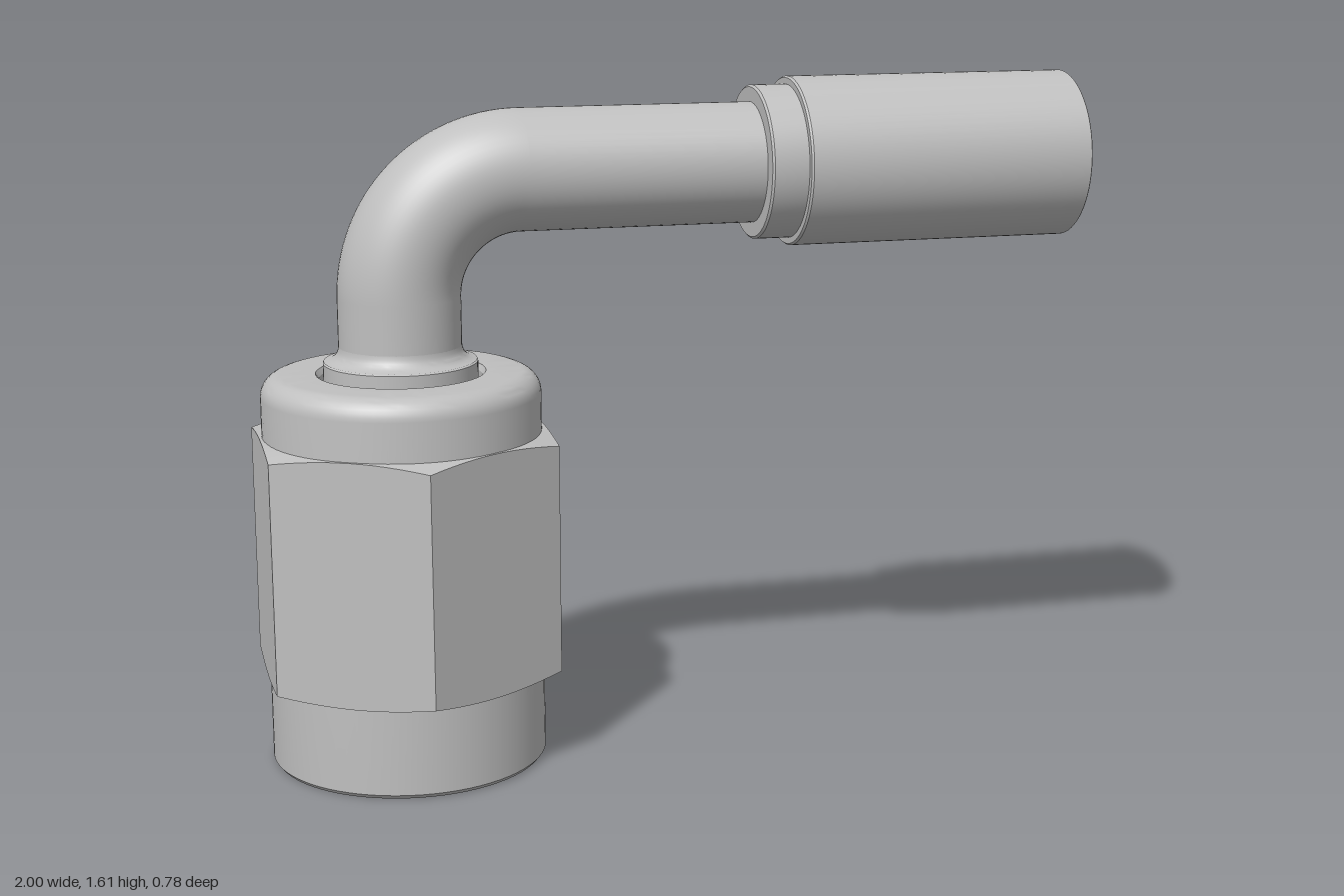
import * as THREE from 'three';
import { toCreasedNormals } from 'three/addons/utils/BufferGeometryUtils.js';

const NUT_X = -0.663, PIPE_Y = 1.41, PIPE_R = 0.145, BEND_R = 0.288;

// quarter-circle profile points, centre (cx, cy), from angle a0 to a1
function arc(cx, cy, r, a0, a1, n = 8) {
  return Array.from({ length: n + 1 }, (_, i) => {
    const a = a0 + (a1 - a0) * i / n;
    return [cx + r * Math.cos(a), cy + r * Math.sin(a)];
  });
}

function turned(points) {
  const g = new THREE.LatheGeometry(points.map(p => new THREE.Vector2(...p)), 72);
  return toCreasedNormals(g, 0.45);
}

// hexagonal prism whose corners are cut by a shallow cone at both ends
function hexBody(apothem, low, high, inner) {
  const steps = 72, rings = [], pos = [], idx = [];
  for (let i = 0; i <= steps; i++) {
    const t = i / steps * Math.PI * 2;
    const off = (t + 1e-9) % (Math.PI / 3) - Math.PI / 6;
    const R = apothem / Math.cos(off), drop = 0.3 * (R - apothem);
    rings.push([[inner, low], [R, low + drop], [R, high - drop], [inner, high]]);
    for (const [r, y] of rings[i]) pos.push(r * Math.sin(t), y, r * Math.cos(t));
  }
  for (let i = 0; i < steps; i++) {
    for (let j = 0; j < 3; j++) {
      const a = i * 4 + j, b = a + 4;
      idx.push(a, b, b + 1, a, b + 1, a + 1);
    }
  }
  const g = new THREE.BufferGeometry();
  g.setAttribute('position', new THREE.Float32BufferAttribute(pos, 3));
  g.setIndex(idx);
  return toCreasedNormals(g, 0.25);
}

export function createModel() {
  const model = new THREE.Group();
  model.name = 'elbowHoseFitting';
  const steel = new THREE.MeshStandardMaterial({ color: 0xbfbfbf });
  steel.name = 'grey steel';
  const add = (name, geometry, x, y) => {
    const mesh = new THREE.Mesh(geometry, steel);
    mesh.name = name;
    mesh.position.set(x, y, 0);
    model.add(mesh);
  };

  // swivel nut: hollow round body with a hexagonal grip
  add('nutBody', turned([
    [0.195, 0.75], [0.265, 0.75], [0.265, 0.035], [0.3, 0.008], [0.305, 0], [0.322, 0], [0.33, 0.01],
    ...arc(0.28, 0.893, 0.05, 0, Math.PI / 2),
    [0.2, 0.943], [0.192, 0.93], [0.192, 0.75],
  ]), NUT_X, 0);
  add('nutHexagon', hexBody(0.337, 0.217, 0.8, 0.325), NUT_X, 0);

  // flared nose inside the nut, and the filleted collar above it
  add('pipeNose', turned([
    [0, 0.9], [0.09, 0.9], [0.09, 0.6], [0.13, 0.6], [0.245, 0.74], [0.245, 0.76], [0.182, 0.78],
    [0.182, 0.968], [0.175, 0.972],
    ...arc(0.18, 1.007, 0.035, Math.PI * 1.5, Math.PI, 6),
  ]), NUT_X, 0);

  // bent pipe: riser, quarter bend, straight run
  const bendY = PIPE_Y - BEND_R, bendX = NUT_X + BEND_R;
  add('pipeRiser', new THREE.CylinderGeometry(PIPE_R, PIPE_R, bendY - 0.95, 56, 1, true),
    NUT_X, (bendY + 0.95) / 2);
  add('pipeBend', new THREE.TorusGeometry(BEND_R, PIPE_R, 56, 32, Math.PI / 2).rotateZ(Math.PI / 2),
    bendX, bendY);
  const runEnd = 0.22;
  add('pipeRun', new THREE.CylinderGeometry(PIPE_R, PIPE_R, runEnd - bendX, 56, 1, true).rotateZ(-Math.PI / 2),
    (runEnd + bendX) / 2, PIPE_Y);

  // crimp sleeve: stepped outside, tapered mouth, deep socket
  add('crimpSleeve', turned([
    [0.14, 0.195], [0.18, 0.195], [0.185, 0.2], [0.185, 0.285], [0.2, 0.285], [0.204, 0.29],
    [0.204, 0.998], [0.202, 1], [0.178, 1], [0.155, 0.94], [0.155, 0.35], [0, 0.35],
  ]).rotateZ(-Math.PI / 2), 0, PIPE_Y);

  // hose nipple in the socket
  add('hoseNipple', turned([
    [0.083, 0.34], [0.083, 0.975], [0.07, 0.998], [0.053, 0.998], [0.05, 0.99], [0.05, 0.4], [0, 0.4],
  ]).rotateZ(-Math.PI / 2), 0, PIPE_Y);

  return model;
}
